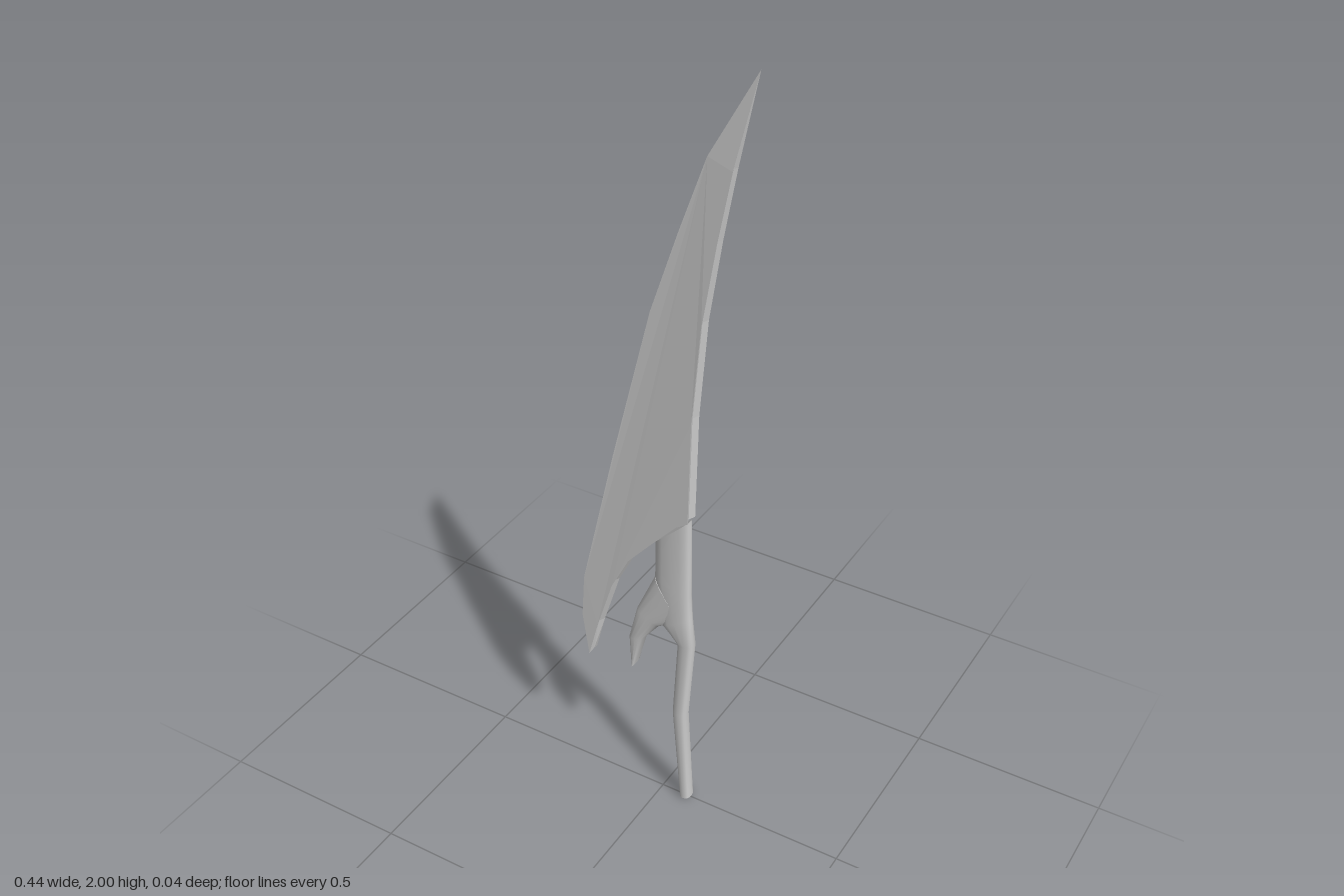
import * as THREE from 'three';

const DEPTH = 0.018; // half thickness

// half thickness of the blade, thinning towards the tip
function halfDepth(y) {
  if (y < 1.3) return DEPTH;
  if (y < 1.78) return DEPTH - (y - 1.3) / 0.48 * 0.006;
  return 0.012 * Math.max(0, (2 - y) / 0.22);
}

function buildBlade() {
  const P = (a) => a.map(([x, y]) => new THREE.Vector2(x, y));
  const outline = P([
    [0.217, 2.0], [0.108, 1.8], [0.045, 1.62], [-0.024, 1.41], [-0.125, 1.0],
    [-0.215, 0.61], [-0.223, 0.49], [-0.206, 0.37], [-0.18, 0.47], [-0.135, 0.615],
    [-0.087, 0.71], [-0.018, 0.79], [0.045, 0.86], [0.075, 0.88], [0.082, 1.16],
    [0.103, 1.41], [0.135, 1.61], [0.167, 1.78],
  ]);
  const groove = P([[0.149, 1.8], [0.127, 1.8], [-0.014, 1.2], [0.037, 1.2]]);
  const n = outline.length;

  // the rim is hollowed: its middle line is moved inwards
  const hollow = outline.map((p, i) => {
    const d = outline[(i + 1) % n].clone().sub(outline[(i + n - 1) % n]).normalize();
    const k = 0.007 * halfDepth(p.y) / DEPTH;
    return new THREE.Vector3(p.x - d.y * k, p.y + d.x * k, 0);
  });
  const layer = (pts, s) => pts.map((p) => new THREE.Vector3(p.x, p.y, s * halfDepth(p.y)));
  const front = layer(outline, 1), back = layer(outline, -1);
  const rim = layer(groove, -1), bed = layer(groove, -0.55);

  const pos = [];
  const tri = (a, b, c) => pos.push(...a.toArray(), ...b.toArray(), ...c.toArray());
  const wall = (a, b) => a.forEach((p, i) => {
    const j = (i + 1) % a.length;
    tri(p, b[i], b[j]);
    tri(p, b[j], a[j]);
  });
  const face = (contour, holes, pts, flip) => {
    for (const [a, b, c] of THREE.ShapeUtils.triangulateShape(contour, holes)) {
      if (flip) tri(pts[a], pts[c], pts[b]);
      else tri(pts[a], pts[b], pts[c]);
    }
  };
  face(outline, [], front, false);
  face(outline, [groove], [...back, ...rim], true);
  wall(front, hollow);
  wall(hollow, back);
  // shallow groove on the back
  wall(rim, bed);
  face(groove, [], bed, true);

  const g = new THREE.BufferGeometry();
  g.setAttribute('position', new THREE.Float32BufferAttribute(pos, 3));
  g.computeVertexNormals();
  return g;
}

// rounded limb through sections given as [leftX, leftY, rightX, rightY], bottom to top
function loft(sections, sides = 16) {
  const pos = [], idx = [];
  const soft = (v) => Math.sign(v) * Math.abs(v) ** 0.75;
  const ring = ([lx, ly, rx, ry]) => {
    for (let k = 0; k < sides; k++) {
      const a = k / sides * Math.PI * 2;
      const t = (1 + soft(Math.cos(a))) / 2;
      pos.push(lx + (rx - lx) * t, ly + (ry - ly) * t, DEPTH * soft(Math.sin(a)));
    }
  };
  sections.forEach(ring);
  for (let i = 0; i < sections.length - 1; i++) {
    for (let k = 0; k < sides; k++) {
      const a = i * sides + k, b = i * sides + (k + 1) % sides;
      idx.push(a, a + sides, b, b, a + sides, b + sides);
    }
  }
  // end caps with their own vertices
  const low = sections.length * sides, high = low + sides;
  ring(sections[0]);
  ring(sections[sections.length - 1]);
  for (let k = 1; k < sides - 1; k++) {
    idx.push(low, low + k, low + k + 1, high, high + k + 1, high + k);
  }
  const g = new THREE.BufferGeometry();
  g.setAttribute('position', new THREE.Float32BufferAttribute(pos, 3));
  g.setIndex(idx);
  g.computeVertexNormals();
  return g;
}

export function createModel() {
  const model = new THREE.Group();
  const add = (name, geometry, flatShading) => {
    const mesh = new THREE.Mesh(geometry, new THREE.MeshStandardMaterial({ color: 0xcccccc, flatShading }));
    mesh.name = name;
    model.add(mesh);
  };

  add('blade', buildBlade(), true);

  // grip with its widened collar under the blade
  add('handle', loft([
    [0.056, 0, 0.085, 0.005],
    [0.032, 0.28, 0.07, 0.28],
    [0.045, 0.505, 0.087, 0.51],
    [0.0, 0.545, 0.08, 0.59],
    [-0.02, 0.685, 0.077, 0.66],
    [-0.018, 0.79, 0.075, 0.88],
  ]), false);

  // short hooked prong branching off the handle
  add('prong', loft([
    [-0.084, 0.38, -0.077, 0.385],
    [-0.093, 0.47, -0.05, 0.48],
    [-0.07, 0.57, -0.008, 0.535],
    [-0.02, 0.685, 0.06, 0.57],
  ]), false);

  return model;
}
